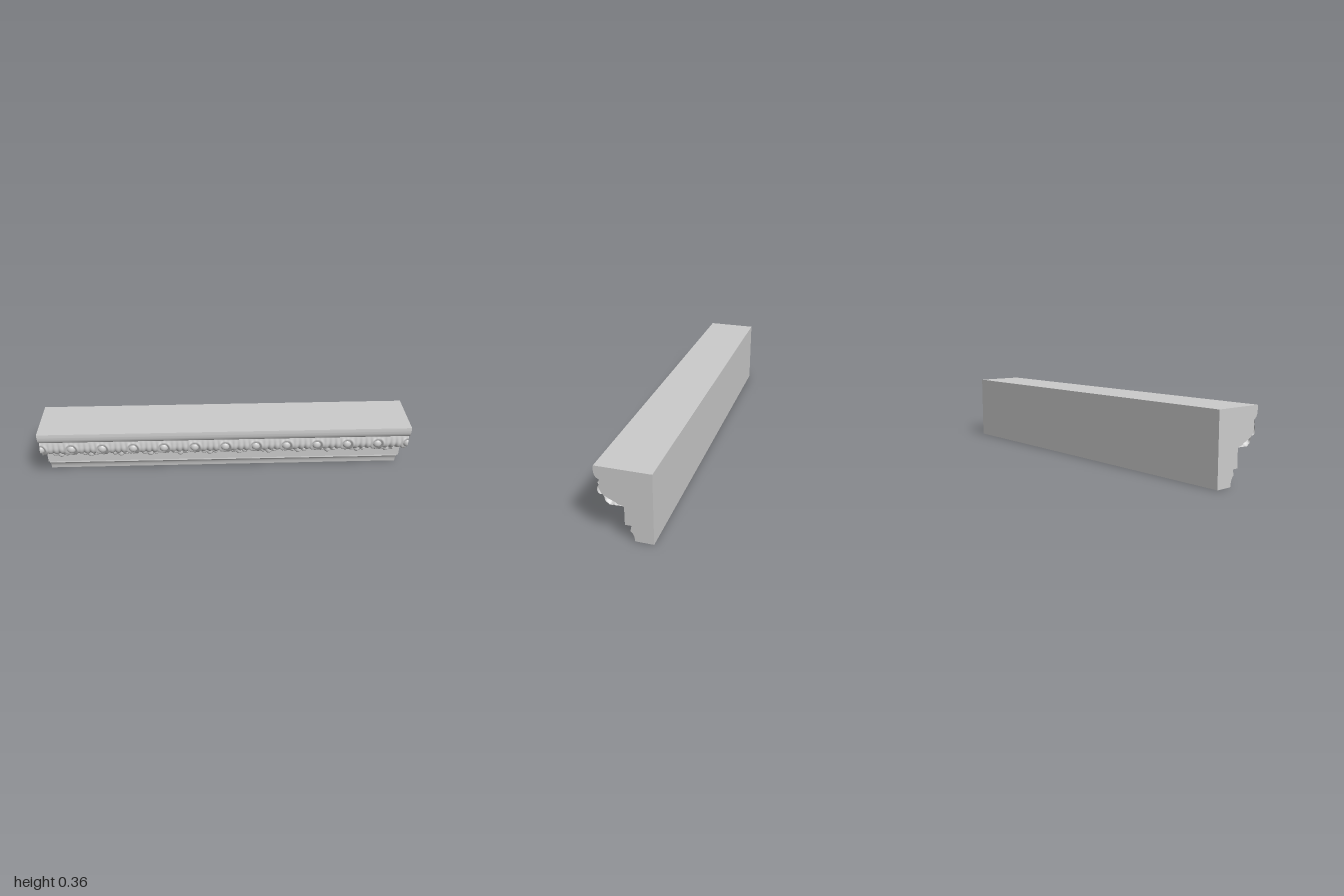
import * as THREE from 'three';
import { toCreasedNormals } from 'three/addons/utils/BufferGeometryUtils.js';

const PERIOD = 1 / 6; // spacing of the carved ornament
const material = new THREE.MeshStandardMaterial({ color: 0xcccccc });
const thin = new THREE.MeshStandardMaterial({ color: 0xcccccc, side: THREE.DoubleSide });
const curve = (pts) => new THREE.SplineCurve(pts.map(([z, y]) => new THREE.Vector2(z, y)));

// profile curves as [z, y], running downwards
const crown = curve([[0.135, 0.36], [0.137, 0.34], [0.134, 0.318], [0.125, 0.302], [0.11, 0.293]]);
const ovolo = curve([[0.11, 0.293], [0.113, 0.27], [0.113, 0.245], [0.1, 0.222],
  [0.07, 0.204], [0.042, 0.192], [0.028, 0.183], [0, 0.178]]);
const foot = curve([[-0.025, 0.052], [-0.034, 0.042], [-0.042, 0.026], [-0.046, 0]]);

function add(group, name, geometry, mat = material) {
  const mesh = new THREE.Mesh(geometry, mat);
  mesh.name = name;
  group.add(mesh);
  return mesh;
}

// grid whose points are placed by rule(u, v), u to the right and v downwards
function patch(nu, nv, rule) {
  const geo = new THREE.PlaneGeometry(1, 1, nu, nv);
  const pos = geo.attributes.position;
  for (let i = 0; i < pos.count; i++) {
    pos.setXYZ(i, ...rule(pos.getX(i) + 0.5, 0.5 - pos.getY(i)));
  }
  geo.computeVertexNormals();
  return geo;
}

// solid moulding swept along x
function mouldingBody() {
  const pts = [
    ...crown.getPoints(14), ...ovolo.getPoints(28).slice(1),
    new THREE.Vector2(0, 0.08), new THREE.Vector2(-0.031, 0.08),
    ...foot.getPoints(10),
    new THREE.Vector2(-0.135, 0), new THREE.Vector2(-0.135, 0.36),
  ];
  const shape = new THREE.Shape(pts.map((p) => new THREE.Vector2(-p.x, p.y)));
  const geo = new THREE.ExtrudeGeometry(shape, { depth: 2, bevelEnabled: false });
  geo.rotateY(Math.PI / 2).translate(-1, 0, 0);
  return toCreasedNormals(geo, 0.6);
}

// fluted leaves, bead sockets and darts raised from the ovolo
function carvedBand() {
  return patch(480, 40, (u, v) => {
    const x = u * 2 - 1;
    const p = ovolo.getPointAt(v);
    const t = ovolo.getTangentAt(v);
    const s = x / PERIOD - Math.floor(x / PERIOD) - 0.5; // 0 on a shell, 0.5 on a bead
    const d = (0.5 - Math.abs(s)) * PERIOD; // distance from the bead axis
    const fade = Math.sin(Math.PI * Math.min(1, v * 0.95 + 0.02));
    const flute = Math.abs(Math.cos(Math.PI * s * (6 - 2.5 * v)));
    let h = 0.001 + 0.011 * fade * (0.2 + 0.8 * flute);
    const ring = Math.hypot(d, p.y - 0.243);
    h *= THREE.MathUtils.smoothstep(ring, 0.022, 0.036);
    h += 0.006 * Math.exp(-(((ring - 0.036) / 0.006) ** 2)) * fade;
    h += 0.016 * Math.max(0, 1 - d / 0.026 - Math.abs(v - 0.68) / 0.2);
    return [x, p.y + t.x * h, p.x - t.y * h];
  });
}

// scalloped shell with five lobes, hanging below the ovolo
function shellGeometry() {
  return patch(60, 16, (u, v) => {
    const a = Math.PI * (1 + u);
    const lobe = Math.abs(Math.sin(5 * a));
    const r = v * (0.87 + 0.13 * lobe);
    const z = (0.019 + 0.008 * v * lobe) * Math.sqrt(Math.max(0, 1 - v ** 8));
    return [Math.cos(a) * r * 0.074, 0.184 + Math.sin(a) * r * 0.064, z];
  });
}

export function createModel() {
  const model = new THREE.Group();
  model.name = 'moulding';
  add(model, 'body', mouldingBody());
  add(model, 'carvedBand', carvedBand(), thin);

  // shells
  const shell = shellGeometry();
  for (let i = 0; i < 12; i++) {
    add(model, 'shell', shell, thin).position.x = (i - 5.5) * PERIOD;
  }

  // beads, halved at both ends
  for (let i = 0; i <= 12; i++) {
    const end = i === 0 || i === 12;
    const start = i === 0 ? Math.PI / 2 : -Math.PI / 2;
    const geo = new THREE.SphereGeometry(0.024, 20, 14, end ? start : 0, end ? Math.PI : Math.PI * 2);
    const bead = add(model, 'bead', geo, thin);
    bead.position.set((i - 6) * PERIOD, 0.244, 0.106);
    bead.scale.z = 0.7;
  }
  return model;
}
